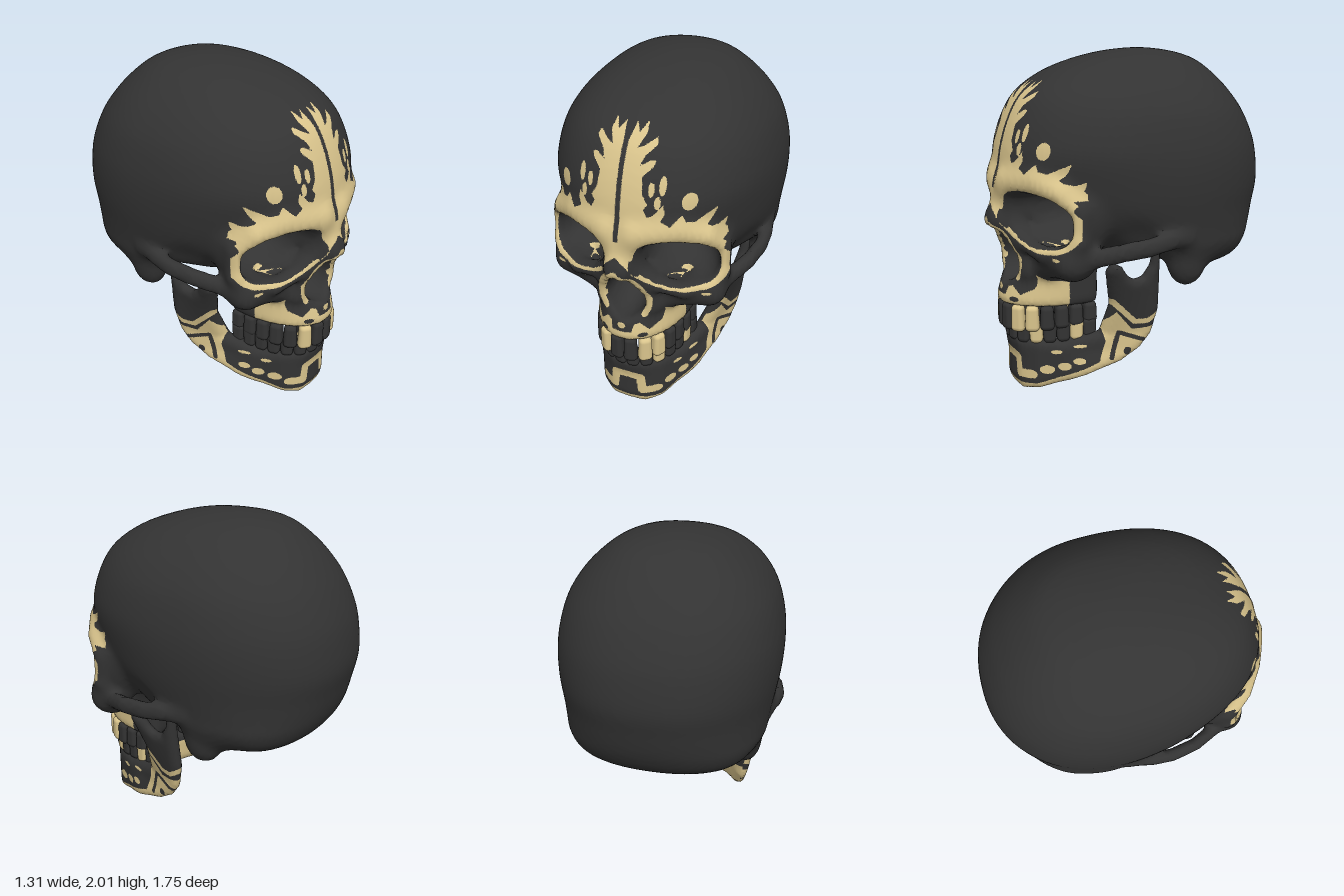
import * as THREE from 'three';
import { RoundedBoxGeometry } from 'three/addons/geometries/RoundedBoxGeometry.js';

const charcoal = new THREE.MeshStandardMaterial({ color: 0x333333 });
charcoal.name = 'charcoal bone';
const gold = new THREE.MeshStandardMaterial({ color: 0xd9c48c });
gold.name = 'gold paint';

// ---- sculpting helpers: distance fields and smooth blends ----
const { abs, min, max, hypot } = Math;
const smin = (a, b, k) => { const h = max(k - abs(a - b), 0) / k; return min(a, b) - h * h * k / 4; };
const smax = (a, b, k) => -smin(-a, -b, k);
const ramp = THREE.MathUtils.smoothstep;
const ball = (x, y, z, c, r) =>
  (hypot((x - c[0]) / r[0], (y - c[1]) / r[1], (z - c[2]) / r[2]) - 1) * min(...r);

// distance to a chain of segments, in 2D (z = 0) or 3D
function chain(x, y, z, pts) {
  let best = 9;
  for (let i = 1; i < pts.length; i++) {
    const a = pts[i - 1], b = pts[i], az = a[2] || 0;
    const ux = b[0] - a[0], uy = b[1] - a[1], uz = (b[2] || 0) - az;
    const px = x - a[0], py = y - a[1], pz = z - az;
    const t = min(1, max(0, (px * ux + py * uy + pz * uz) / (ux * ux + uy * uy + uz * uz)));
    best = min(best, hypot(px - ux * t, py - uy * t, pz - uz * t));
  }
  return best;
}

// signed distance to a closed outline
function outline(x, y, pts) {
  let inside = false;
  for (let i = 0, j = pts.length - 1; i < pts.length; j = i++) {
    const [ax, ay] = pts[i], [bx, by] = pts[j];
    if ((ay > y) !== (by > y) && x < (bx - ax) * (y - ay) / (by - ay) + ax) inside = !inside;
  }
  const d = chain(x, y, 0, [...pts, pts[0]]);
  return inside ? -d : d;
}
const inSpots = (x, y, spots) => spots.some(([cx, cy, rx, ry]) => hypot((x - cx) / rx, (y - cy) / ry) < 1);

// turns a field into a smooth surface on a regular grid
function sculpt(field, lo, hi, h) {
  const N = lo.map((l, a) => Math.ceil((hi[a] - l) / h) + 1), S = [1, N[0], N[0] * N[1]];
  const val = new Float32Array(S[2] * N[2]), id = new Int32Array(val.length).fill(-1);
  const each = (from, less, fn) => {
    for (let k = from; k < N[2] - less; k++) for (let j = from; j < N[1] - less; j++)
      for (let i = from; i < N[0] - less; i++) fn(i + j * S[1] + k * S[2], [i, j, k]);
  };
  each(0, 0, (b, g) => { val[b] = field(lo[0] + g[0] * h, lo[1] + g[1] * h, lo[2] + g[2] * h); });
  const off = (c) => (c & 1) + (c >> 1 & 1) * S[1] + (c >> 2 & 1) * S[2];
  const pos = [], index = [];
  each(0, 1, (b, g) => {
    let n = 0; const sum = [0, 0, 0];
    for (let c = 0; c < 8; c++) for (let a = 0; a < 3; a++) {
      if (c >> a & 1) continue;
      const v0 = val[b + off(c)], v1 = val[b + off(c | 1 << a)];
      if ((v0 < 0) === (v1 < 0)) continue;
      n++;
      for (let m = 0; m < 3; m++) sum[m] += (c >> m & 1) + (m === a ? v0 / (v0 - v1) : 0);
    }
    if (n) { id[b] = pos.length / 3; for (let m = 0; m < 3; m++) pos.push(lo[m] + (g[m] + sum[m] / n) * h); }
  });
  each(1, 1, (b) => {
    for (let a = 0; a < 3; a++) {
      const u = S[(a + 1) % 3], v = S[(a + 2) % 3], inside = val[b] < 0;
      if (inside === (val[b + S[a]] < 0)) continue;
      const q = [id[b - u - v], id[b - v], id[b], id[b - u]];
      if (!inside) q.reverse();
      index.push(q[0], q[1], q[2], q[0], q[2], q[3]);
    }
  });
  const geo = new THREE.BufferGeometry();
  geo.setAttribute('position', new THREE.Float32BufferAttribute(pos, 3));
  geo.setIndex(index);
  geo.computeVertexNormals();
  return geo;
}

// sorts faces into bone and gold groups, splitting faces on a paint edge
function painted(geo, isGold, name) {
  const P = geo.attributes.position, M = geo.attributes.normal, out = [[], []];
  const vert = (i) => [P.getX(i), P.getY(i), P.getZ(i), M.getX(i), M.getY(i), M.getZ(i)];
  const mid = (a, b) => a.map((v, i) => (v + b[i]) / 2);
  const add = (a, b, c, level) => {
    const center = a.map((v, i) => (v + b[i] + c[i]) / 3), g = isGold(...center);
    if (level && [a, b, c].some((p) => isGold(...p) !== g)) {
      const ab = mid(a, b), bc = mid(b, c), ca = mid(c, a);
      for (const t of [[a, ab, ca], [ab, b, bc], [ca, bc, c], [ab, bc, ca]]) add(...t, level - 1);
    } else out[g ? 1 : 0].push(a, b, c);
  };
  const I = geo.index.array;
  for (let i = 0; i < I.length; i += 3) add(vert(I[i]), vert(I[i + 1]), vert(I[i + 2]), 2);
  const all = [...out[0], ...out[1]], res = new THREE.BufferGeometry();
  res.setAttribute('position', new THREE.Float32BufferAttribute(all.flatMap((p) => p.slice(0, 3)), 3));
  res.setAttribute('normal', new THREE.Float32BufferAttribute(all.flatMap((p) => p.slice(3)), 3));
  res.addGroup(0, out[0].length, 0);
  res.addGroup(out[0].length, out[1].length, 1);
  const mesh = new THREE.Mesh(res, [charcoal, gold]);
  mesh.name = name;
  return mesh;
}

// ---- braincase: horizontal slices of height, centre z, half depth, half width ----
const SLICES = [[0.64, -0.4, 0, 0], [0.69, -0.39, 0.19, 0.34], [0.77, -0.355, 0.355, 0.5], [0.865, -0.25, 0.535, 0.58],
  [0.95, -0.16, 0.66, 0.605], [1.05, -0.09, 0.755, 0.625], [1.2, -0.05, 0.825, 0.648], [1.34, -0.04, 0.825, 0.655],
  [1.47, -0.035, 0.8, 0.643], [1.63, -0.025, 0.735, 0.6], [1.755, -0.02, 0.65, 0.525], [1.87, -0.045, 0.51, 0.41],
  [1.945, -0.09, 0.35, 0.29], [2, -0.12, 0, 0]].map(([y, c, d, w]) => [y, c, d * d, w * w]);
function slice(y) {
  const n = SLICES.length;
  y = min(2, max(0.64, y));
  let i = 0;
  while (i < n - 2 && SLICES[i + 1][0] < y) i++;
  const A = SLICES[i], B = SLICES[i + 1], span = B[0] - A[0], t = (y - A[0]) / span;
  const slope = (j, m) => {
    const p = SLICES[max(0, j - 1)], q = SLICES[min(n - 1, j + 1)];
    return (q[m] - p[m]) / (q[0] - p[0]) * span;
  };
  return [1, 2, 3].map((m) => A[m] * (1 + 2 * t) * (1 - t) ** 2 + B[m] * t * t * (3 - 2 * t)
    + slope(i, m) * t * (1 - t) ** 2 - slope(i + 1, m) * t * t * (1 - t));
}
// egg-shaped plan: widest behind the middle, narrow at the temples, fuller at the forehead
function braincase(x, y, z) {
  const [c, d2, w2] = slice(y), d = Math.sqrt(max(d2, 1e-5));
  const dz = z - c + 0.1 * d, back = dz < 0;
  const p = back ? 2.2 : 2 + 0.3 * ramp(y, 1.2, 1.5);
  const ratio = Math.sqrt(max(w2, 1e-5)) / (d * (back ? 0.9 : 1.1));
  const r2 = (abs(x) ** p + abs(dz * ratio) ** p) ** (2 / p);
  return (r2 - w2) / 1.3 + max(0, y - 2) + max(0, 0.64 - y);
}

// eye socket, its hollow, and nose opening, all 1 on their rims
function socket(x, y, depth) {
  const dx = x - 0.31 + 0.15 * depth, dy = y - 1.07 + 0.13 * (x - 0.31);
  return (abs(dx / 0.2) ** 2.4 + abs(dy / 0.142) ** 2.4) ** (1 / 2.4);
}
const socketHollow = (x, y, z) => hypot(socket(x, y, max(0, 0.6 - z)), max(0, 0.6 - z) / 0.28);
const nostril = (x, y) => hypot(x / max(0.03, 0.13 - 0.33 * max(0, y - 0.78)), (y - 0.83) / 0.17);

const BROW = [[0.08, 1.26, 0.765], [0.3, 1.28, 0.67], [0.43, 1.23, 0.59], [0.49, 1.13, 0.505], [0.49, 0.97, 0.505]];
const LOWER_RIM = [[0.48, 0.95, 0.52], [0.33, 0.88, 0.65], [0.16, 0.92, 0.7], [0.085, 1.08, 0.73], [0.07, 1.2, 0.75]];
const NOSE_SIDE = [[0.03, 1.05, 0.8], [0.07, 0.97, 0.76], [0.13, 0.86, 0.7], [0.15, 0.74, 0.68]];
const ARCH = [[0.46, 0.86, 0.52], [0.52, 0.87, 0.42], [0.585, 0.9, 0.28], [0.615, 0.92, 0.12], [0.61, 0.94, 0], [0.58, 0.95, -0.14]];
function cranium(x, y, z) {
  x = abs(x);
  let d = braincase(x, y, z);
  d = smin(d, ball(x, y, z, [0, 0.9, 0.1], [0.46, 0.12, 0.32]), 0.06);
  if (z > 0.1 && y < 1.5) {
    d = smin(d, chain(x, y, z, BROW) - 0.055, 0.08);
    d = smin(d, ball(x, y, z, [0.38, 1.07, 0.42], [0.14, 0.2, 0.15]), 0.06);
    d = smin(d, ball(x, y, z, [0, 0.86, 0.36], [0.26, 0.2, 0.24]), 0.06);
    // upper jaw
    const b = 0.46 - 0.3 * min(0.35, max(0, y - 0.55));
    let jaw = (hypot(x / 0.285, (z - 0.35) / b) - 1) * 0.3;
    jaw = smax(smax(jaw, max(0.52 - y, y - 1), 0.05), 0.28 - z, 0.05);
    d = smin(d, jaw, 0.06);
    d = smin(d, chain(x, y, z, LOWER_RIM) - 0.05, 0.06);
    // cheekbone
    d = smin(d, chain(x, y, z, [[0.22, 0.79, 0.58], [0.44, 0.84, 0.54]]) - 0.085, 0.06);
    d = smin(d, ball(x, y, z, [0.44, 0.85, 0.49], [0.085, 0.11, 0.11]), 0.06);
    // nose bridge and spine
    d = smin(d, chain(x, y, z, [[0.01, 1.22, 0.75], [0.015, 1.025, 0.825]]) - 0.048, 0.06);
    d = smin(d, chain(x, y, z, NOSE_SIDE) - 0.04, 0.05);
    d = smin(d, chain(x, y, z, [[0, 0.66, 0.7], [0, 0.67, 0.79]]) - 0.025, 0.04);
    // hollows
    d = smax(d, -(socketHollow(x, y, z) - 1) * 0.15, 0.03);
    d = smax(d, -(hypot(nostril(x, y), max(0, 0.72 - z) / 0.28) - 1) * 0.1, 0.02);
    d = smax(d, -ball(x, y, z, [0, 0.5, 0.47], [0.19, 0.1, 0.27]), 0.03);
  }
  d = smax(d, -ball(x, y, z, [0.6, 0.9, 0.24], [0.08, 0.14, 0.16]), 0.05);
  d = smin(d, chain(x, y * 0.7, z, ARCH.map(([ax, ay, az]) => [ax, ay * 0.7, az])) - 0.038, 0.03);
  // mastoid
  d = smin(d, ball(x, y, z, [0.475, 0.76, -0.2], [0.09, 0.14, 0.12]), 0.13);
  return smax(d, -ball(x, y, z, [0, 0.62, -0.25], [0.1, 0.1, 0.12]), 0.03);
}

// painted crest on the forehead (hundredths), and the band over the teeth
const CREST = [[0, 113], [0, 168], [3, 182], [6, 178], [9, 183], [10, 178], [7, 172], [10, 173], [16, 177], [17, 174], [12, 169],
  [10, 164], [15, 167], [18, 167], [17, 164], [12, 159], [13, 150], [16, 145], [14, 142], [16, 138], [19, 139], [24, 145],
  [25, 140], [23, 136], [28, 133], [33, 139], [35, 135], [39, 134], [48, 140], [46, 135], [44, 131], [48, 128], [51, 130],
  [50, 125], [53, 120], [52, 112], [30, 110], [9, 104], [5, 109]].map((p) => p.map((v) => v / 100));
const GUM = [[-0.01, 0.5], [0.32, 0.5], [0.31, 0.6], [0.27, 0.68], [0.22, 0.73], [0.2, 0.64], [0.15, 0.6], [0.1, 0.65],
  [0.07, 0.64], [0.06, 0.59], [-0.01, 0.59]];
const NOSE_LINE = [[0, 1.03], [0.06, 0.98], [0.11, 0.91], [0.147, 0.82], [0.142, 0.75], [0.12, 0.7]];
const CREST_SPOTS = [[0.36, 1.46, 0.035, 0.048], [0.23, 1.55, 0.018, 0.05], [0.175, 1.53, 0.016, 0.04], [0.21, 1.46, 0.016, 0.035],
  [0.24, 0.85, 0.03, 0.01], [0.45, 0.87, 0.03, 0.01], [0, 0.63, 0.025, 0.02]];
function craniumGold(x, y, z, nx, ny, nz) {
  const a = abs(x);
  if (z < 0.46 || y > 1.86 || nz < (y < 1.2 && a > 0.45 ? 0.15 : -0.2)) return false;
  if (y < 0.76) return z > 0.47 && ny > -0.7 && outline(a, y, GUM) < 0 && !inSpots(a, y, [[0.12, 0.57, 0.025, 0.015]])
    || (z > 0.6 && nostril(a, y) > 1 && chain(a, y, 0, NOSE_LINE) < 0.018) || inSpots(a, y, CREST_SPOTS);
  const e = socket(a, y, 0);
  if (e < 0.98 || socketHollow(a, y, z) < 1.05 || nostril(a, y) < 0.97 || (a < 0.014 && y > 1.22)) return false;
  // walls that face into the socket stay dark
  const ix = 0.31 - a, iy = 1.07 - y;
  if (e < 1.2 && (ix * nx * Math.sign(x) + iy * ny) / hypot(ix, iy) > 0.75) return false;
  return e < 1.22 || outline(a, y, CREST) < 0 || chain(a, y, 0, NOSE_LINE) < 0.022 || inSpots(a, y, CREST_SPOTS);
}

// ---- lower jaw: side outline (z, y) wrapped around a U-shaped plan (x, z) ----
const JAW_SIDE = [[0.71, -0.01], [0.745, 0.06], [0.74, 0.2], [0.78, 0.3], [0.74, 0.335], [0.5, 0.31], [0.3, 0.36], [0.275, 0.55],
  [0.33, 0.77], [0.3, 0.83], [0.23, 0.79], [0.19, 0.73], [0.15, 0.705], [0.1, 0.715], [0.06, 0.78], [0.045, 0.89], [-0.01, 0.88],
  [-0.025, 0.5], [0.01, 0.34], [0.08, 0.24], [0.19, 0.165], [0.46, 0.065], [0.62, 0.01]];
const JAW_PLAN = [[0, 0.695], [0.07, 0.68], [0.15, 0.61], [0.22, 0.48], [0.285, 0.33], [0.36, 0.18], [0.42, 0.03], [0.45, -0.1]];
function mandible(x, y, z) {
  const a = abs(x), body = ramp(z, 0.05, 0.25) * (1 - ramp(z, 0.35, 0.55));
  const shift = 0.22 * body * max(0, 0.25 - y) + max(0, y - 0.35) * (0.12 + 0.9 * max(0, z));
  const wall = chain(a - shift * min(1, a / 0.2), z, 0, JAW_PLAN) - (0.038 + 0.025 * ramp(z, 0.2, 0.5));
  return smax(outline(z, y, JAW_SIDE), wall, 0.065);
}

const CHEEK = [[0.24, 0.5], [0.14, 0.38], [-0.04, 0.4], [-0.04, 0.3], [0.08, 0.2], [0.19, 0.12], [0.46, 0.02], [0.78, -0.05],
  [0.78, 0.03], [0.65, 0.05], [0.45, 0.125], [0.32, 0.18], [0.28, 0.3], [0.3, 0.42]];
const WAVE = [[0.27, 0.57], [0.2, 0.5], [0.13, 0.43], [0.06, 0.43], [-0.03, 0.48]];
const CHEVRON = [[0.25, 0.2], [0.21, 0.36], [0.05, 0.3]];
const CHIN_ARCH = [[0.17, 0.105], [0.09, 0.1], [0.08, 0.2], [0, 0.21]];
const JAW_SPOTS = [[0.6, 0.14, 0.04, 0.027], [0.51, 0.16, 0.035, 0.025], [0.43, 0.19, 0.035, 0.02], [0.55, 0.25, 0.03, 0.012],
  [0.42, 0.28, 0.04, 0.01]];
function mandibleGold(x, y, z, nx, ny) {
  if (y > 0.62) return false;
  if (ny < -0.6 && y < 0.3) return true;
  const inner = z > 0.6 ? z < 0.66 && abs(x) < 0.12 : nx * Math.sign(x) < -0.1;
  if (inner) return y < 0.42 - 0.4 * z;
  if (z > 0.6 && chain(abs(x), y, 0, CHIN_ARCH) < 0.027) return true;
  if (chain(z, y, 0, WAVE) < 0.016 || inSpots(z, y, JAW_SPOTS)) return true;
  return outline(z, y, CHEEK) < 0 && chain(z, y, 0, CHEVRON) > 0.013 && !inSpots(z, y, [[0.16, 0.24, 0.022, 0.025]]);
}

// ---- teeth set along an arch, mirrored left and right, narrower at the root (root: 1 up, -1 down) ----
function teeth(group, name, root, pts, yFront, yBack, hFront, hBack, goldOnes) {
  const curve = new THREE.CatmullRomCurve3(pts.map(([x, z]) => new THREE.Vector3(x, 0, z)));
  for (const side of [1, -1]) for (let i = 0; i < 7; i++) {
    const u = (i + 0.5) / 7, p = curve.getPointAt(u), t = curve.getTangentAt(u), h = hFront + (hBack - hFront) * u;
    const geo = new RoundedBoxGeometry(0.086, h, 0.06 + 0.035 * u, 2, 0.029), P = geo.attributes.position;
    for (let v = 0; v < P.count; v++) P.setX(v, P.getX(v) * (0.94 - 0.16 * root * P.getY(v) / h));
    geo.computeBoundingSphere();
    const tooth = new THREE.Mesh(geo, goldOnes.includes(side * (i + 1)) ? gold : charcoal);
    tooth.position.set(side * p.x, yFront + (yBack - yFront) * u, p.z);
    tooth.rotation.y = side * Math.atan2(-t.z, t.x);
    tooth.name = name;
    group.add(tooth);
  }
}

export function createModel() {
  const model = new THREE.Group();
  model.name = 'paintedSkull';
  model.add(painted(sculpt(cranium, [-0.726, 0.45, -0.93], [0.726, 2.06, 0.93], 0.022), craniumGold, 'cranium'));
  model.add(painted(sculpt(mandible, [-0.72, -0.06, -0.1], [0.72, 0.95, 0.85], 0.016), mandibleGold, 'mandible'));
  teeth(model, 'upperTooth', 1, [[0, 0.775], [0.12, 0.735], [0.2, 0.62], [0.235, 0.45], [0.24, 0.29]], 0.45, 0.47, 0.175, 0.13, [2, 3, -2]);
  teeth(model, 'lowerTooth', -1, [[0, 0.735], [0.11, 0.695], [0.19, 0.59], [0.23, 0.44], [0.25, 0.3]], 0.355, 0.375, 0.13, 0.13, [3, 6]);
  return model;
}
